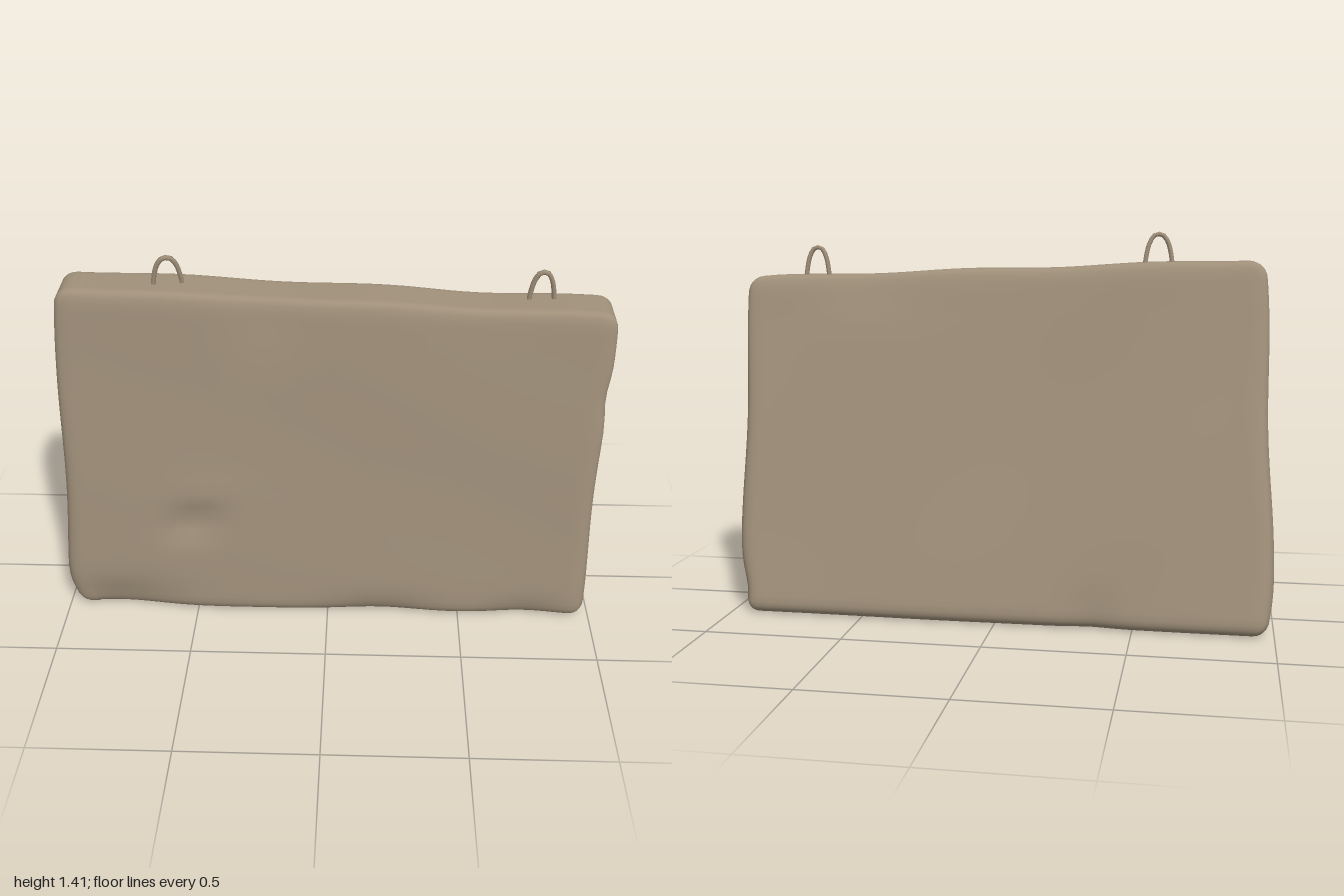
import * as THREE from 'three';
import { mergeVertices } from 'three/addons/utils/BufferGeometryUtils.js';

const lerp = THREE.MathUtils.lerp;
const topY = (x) => 1.288 - 0.038 * x;

// soft local bump, used for chips and dents
const bump = (a, a0, ra, b, b0, rb) => Math.exp(-(((a - a0) / ra) ** 2) - ((b - b0) / rb) ** 2);

// Tapered, weathered block: a rounded box whose vertices are sheared and dented
function blockGeometry() {
  let geo = new THREE.BoxGeometry(2, 2, 2, 48, 32, 14);
  geo.deleteAttribute('uv');
  geo.deleteAttribute('normal');
  geo = mergeVertices(geo);
  const half = new THREE.Vector3(1, 0.65, 0.27);
  const r = 0.06;
  const inner = half.clone().subScalar(r);
  const negInner = inner.clone().negate();
  const grade = (t) => lerp(t, Math.sin((t * Math.PI) / 2), 0.8); // finer grid near edges
  const pos = geo.attributes.position;
  const p = new THREE.Vector3();
  const core = new THREE.Vector3();
  for (let i = 0; i < pos.count; i++) {
    p.fromBufferAttribute(pos, i);
    p.set(grade(p.x), grade(p.y), grade(p.z)).multiply(half);
    core.copy(p).clamp(negInner, inner);
    p.sub(core).setLength(r).add(core).divide(half);
    const u = p.x, w = p.z, v = (p.y + 1) / 2;

    // leaning ends, sloping top and wedge-shaped section
    let x = lerp(lerp(-1, -0.942, v), lerp(0.975, 0.992, v), (u + 1) / 2);
    let y = lerp(0.008, topY(x), v);
    let z = lerp(lerp(-0.278, -0.008, v), lerp(0.28, 0.178, v), (w + 1) / 2);

    // gentle unevenness of the cast faces
    z += 0.004 * Math.sin(5 * x + 3 * y) * Math.cos(4 * y - 2 * x) * w;
    x += 0.006 * Math.sin(7 * y + 4 * z) * u;
    y += 0.004 * Math.sin(9 * x) * (v > 0.9 ? 1 : 0);

    // front hollow with a small lip, and chipped lower edge
    if (w > 0.5) {
      z -= 0.03 * bump(x, -0.5, 0.09, y, 0.41, 0.06);
      z += 0.008 * bump(x, -0.46, 0.1, y, 0.52, 0.05);
      z -= 0.035 * bump(x, -0.8, 0.22, y, 0.04, 0.09);
      z -= 0.025 * bump(x, 0.2, 0.2, y, 0.02, 0.07);
      z -= 0.02 * bump(x, 0.75, 0.15, y, 0.03, 0.06);
      z -= 0.01 * bump(x, -0.2, 0.12, y, 1.25, 0.15);
    }
    // worn upper back edge and lower back corner
    if (w < -0.5) {
      z += 0.015 * bump(x, -0.35, 0.08, y, 0.04, 0.1);
      z += 0.012 * bump(x, 0.5, 0.2, y, 1.25, 0.12);
    }
    if (u > 0.9) {
      x -= 0.025 * bump(y, 0.08, 0.1, z, -0.22, 0.1);
      x -= 0.015 * bump(y, 0.93, 0.08, z, 0.2, 0.08);
    }
    if (u < -0.9) x += 0.045 * bump(y, 0, 0.1, z, 0.1, 0.3);
    pos.setXYZ(i, x, Math.max(y, 0), z);
  }
  geo.computeVertexNormals();
  return geo;
}

// Bent-rod lifting loop with both legs sunk into the top
function loopGeometry(width, height) {
  const h = width / 2;
  const curve = new THREE.CatmullRomCurve3([
    new THREE.Vector3(-h, -0.06, 0),
    new THREE.Vector3(-h * 0.95, 0, 0),
    new THREE.Vector3(-h * 0.65, height * 0.72, 0.002),
    new THREE.Vector3(-h * 0.25, height, 0.004),
    new THREE.Vector3(h * 0.25, height, 0.004),
    new THREE.Vector3(h * 0.65, height * 0.72, 0.002),
    new THREE.Vector3(h * 0.95, 0, 0),
    new THREE.Vector3(h, -0.06, 0),
  ]);
  return new THREE.TubeGeometry(curve, 20, 0.009, 6);
}

export function createModel() {
  const group = new THREE.Group();
  const concrete = new THREE.MeshStandardMaterial({ color: 0xa0907a });
  concrete.name = 'weathered concrete';

  const block = new THREE.Mesh(blockGeometry(), concrete);
  block.name = 'concreteBlock';
  group.add(block);

  const loops = [
    { name: 'rightLiftingLoop', x: -0.557, z: 0.087, width: 0.105, height: 0.103, turn: 0.22, tilt: 0.1 },
    { name: 'leftLiftingLoop', x: 0.737, z: 0.062, width: 0.092, height: 0.102, turn: 0.07, tilt: 0.03 },
  ];
  for (const l of loops) {
    const loop = new THREE.Mesh(loopGeometry(l.width, l.height), concrete);
    loop.name = l.name;
    loop.position.set(l.x, topY(l.x), l.z);
    loop.rotation.set(l.tilt, l.turn, 0);
    group.add(loop);
  }
  return group;
}
